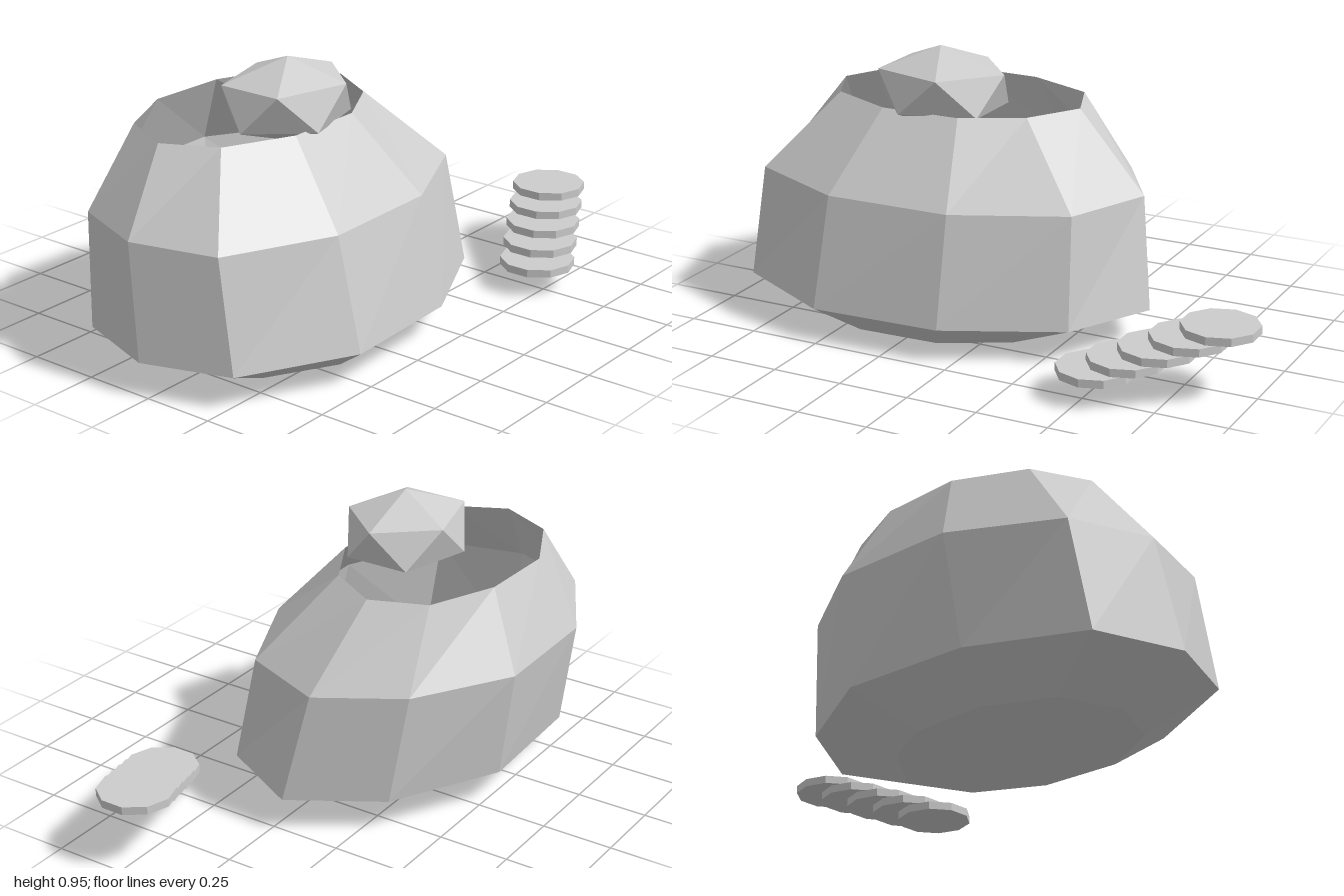
import * as THREE from 'three';

// Joins stacked rings of [x, y, z] points (bottom to top) into faceted faces,
// closed at each end by a pole point when one is given.
function loft(rings, bottomPole, topPole) {
  const pos = [];
  const tri = (a, b, c) => pos.push(...a, ...b, ...c);
  const n = rings[0].length;
  const last = rings[rings.length - 1];
  for (let j = 0; j < n; j++) {
    const k = (j + 1) % n;
    for (let i = 0; i + 1 < rings.length; i++) {
      const lo = rings[i], up = rings[i + 1];
      tri(lo[j], up[j], lo[k]);
      tri(up[j], up[k], lo[k]);
    }
    if (bottomPole) tri(bottomPole, rings[0][j], rings[0][k]);
    if (topPole) tri(topPole, last[k], last[j]);
  }
  const geo = new THREE.BufferGeometry();
  geo.setAttribute('position', new THREE.Float32BufferAttribute(pos, 3));
  geo.computeVertexNormals();
  return geo;
}

export function createModel() {
  const model = new THREE.Group();
  const grey = new THREE.MeshStandardMaterial({ color: 0xcccccc });
  grey.name = 'stoneGrey';
  grey.side = THREE.DoubleSide;
  grey.flatShading = true;

  const add = (name, geo, parent = model) => {
    const mesh = new THREE.Mesh(geo, grey);
    mesh.name = name;
    parent.add(mesh);
    return mesh;
  };

  // Open ten-sided bowl leaning back as it rises: height, then x/z of each corner
  const sections = [
    [0, [[.19, -.02], [.09, .19], [-.14, .31], [-.43, .32], [-.66, .19],
      [-.74, -.02], [-.66, -.23], [-.43, -.34], [-.15, -.33], [.05, -.22]]],
    [.113, [[.5, -.035], [.34, .27], [-.055, .455], [-.52, .473], [-.9, .27],
      [-1, -.035], [-.892, -.345], [-.52, -.52], [-.06, -.54], [.315, -.336]]],
    [.49, [[.44, -.107], [.315, .2], [-.06, .37], [-.51, .375], [-.88, .2],
      [-.955, -.107], [-.845, -.39], [-.5, -.58], [-.06, -.587], [.27, -.383]]],
    [.75, [[.176, -.155], [.065, .03], [-.14, .14], [-.43, .14], [-.665, .03],
      [-.755, -.155], [-.66, -.35], [-.427, -.463], [-.14, -.453], [.1, -.35]]],
  ];
  const bowlRings = sections.map(([y, pts]) => pts.map(([x, z]) => [x, y, z]));
  add('bowl', loft(bowlRings, [-.275, 0, -.01]));

  // Squashed twenty-sided gem resting in the opening
  const gemRing = (y, offset) => Array.from({ length: 5 }, (_, i) => {
    const a = (i * 72 + offset) * Math.PI / 180;
    return [-.28 + .235 * Math.cos(a), y, -.02 + .2 * Math.sin(a)];
  });
  add('gem', loft([gemRing(.742, 36), gemRing(.873, 72)], [-.28, .66, -.02], [-.285, .952, -.012]));

  // Five overlapping discs stepping up and away to the side
  const discs = new THREE.Group();
  discs.name = 'discTrail';
  model.add(discs);
  for (let i = 0; i < 5; i++) {
    const disc = add('disc', new THREE.CylinderGeometry(.131, .131, .028, 10), discs);
    disc.position.set(.525 + i * .0875, .09 + i * .035, .455 - i * .046);
  }
  return model;
}
